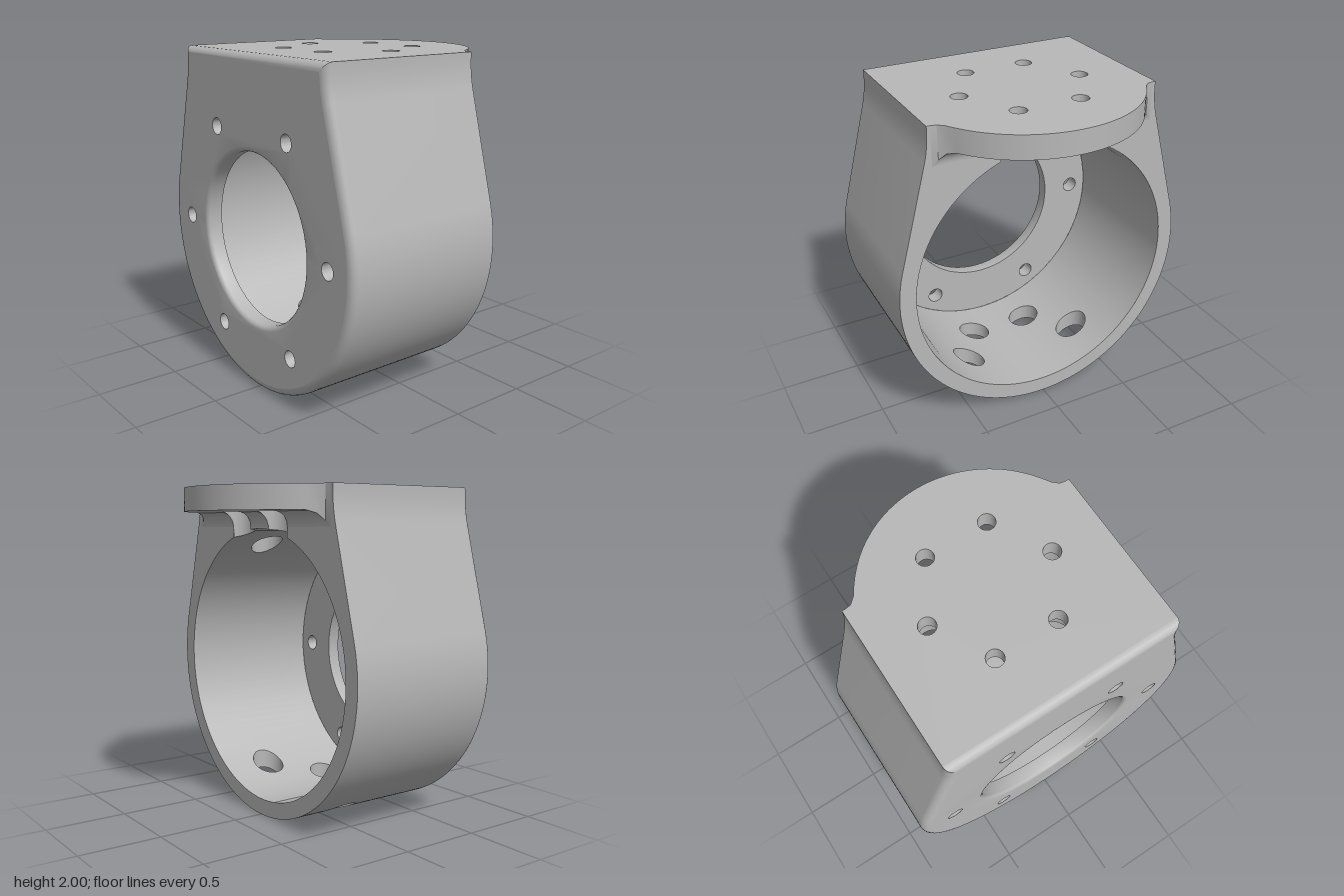
import * as THREE from 'three';
import { mergeGeometries, toCreasedNormals } from 'three/addons/utils/BufferGeometryUtils.js';

const CY = 0.93, R = 0.93, CAV = 0.83;            // bore axis height, outer and cavity radius
const BACK = -0.31, PLATE = 0.61, FRONT = 0.71;   // z of back face, inside of plate, front face
const TOP = 2, HALF = 0.71, ROUND = 0.05, BORE = 0.515, BORE_ROUND = 0.03;
const SEAT = 1.88, UNDER = 1.86, FIL = 0.09;      // screw seat, flange underside, flange fillet
const HOLE = 0.05, ACCESS = 0.1, HX0 = 0.387, HX1 = 0.193, HZ = 0.335;
const XM = 0.6, XF = 0.69;                        // half widths of drilled strip and flange root
const TAU = Math.PI * 2;

const range = (a, b, n) => Array.from({ length: n + 1 }, (_, i) => a + (b - a) * i / n);
const clamp = THREE.MathUtils.clamp;
const around = range(0, TAU, 64);

// Columns across x, closely spaced where access holes begin and end
function columns(half) {
  const list = range(-half, half, 40);
  for (const c of [-HX0, -HX1, HX1, HX0])
    for (const a of range(0, Math.PI, 16)) list.push(c + ACCESS * Math.cos(a));
  return list.sort((a, b) => a - b).filter((x, i, l) => i === 0 || x - l[i - 1] > 1e-5);
}
const xs = columns(XM), xsFlange = columns(XF);

// Half chord of the access holes at x
const chord = (x, hx) => Math.sqrt(Math.max(0, ACCESS ** 2 - (Math.abs(x) - hx) ** 2));
const arcY = (r, x) => Math.sqrt(r * r - x * x);
const roof = x => CY + arcY(CAV, x);

// Grid surface from f(u, t), t in 0..1
function sheet(us, f, nt = 1, flip = false) {
  const pos = [], p = us.map(u => range(0, 1, nt).map(t => new THREE.Vector3(...f(u, t))));
  const tri = (a, b, c) => {
    const area = b.clone().sub(a).cross(c.clone().sub(a)).length();
    if (area > 1e-9) for (const v of flip ? [a, c, b] : [a, b, c]) pos.push(v.x, v.y, v.z);
  };
  for (let i = 0; i < us.length - 1; i++) for (let j = 0; j < nt; j++) {
    tri(p[i][j], p[i + 1][j], p[i + 1][j + 1]);
    tri(p[i][j], p[i + 1][j + 1], p[i][j + 1]);
  }
  return new THREE.BufferGeometry().setAttribute('position', new THREE.Float32BufferAttribute(pos, 3));
}
const mix = (a, b, t) => a + (b - a) * t;

// Flat face from outline points and circular holes [x, y, r]
function face(points, holes = []) {
  const s = new THREE.Shape(points.map(p => new THREE.Vector2(p[0], p[1])));
  for (const [x, y, r] of holes) s.holes.push(new THREE.Path().absarc(x, y, r, 0, TAU, false));
  return plain(new THREE.ShapeGeometry(s, 32));
}
function plain(g) {
  const out = g.toNonIndexed();
  out.deleteAttribute('normal');
  out.deleteAttribute('uv');
  return out;
}

// Curved strip drilled by the four access holes
function drilled(y, zBack, zFront, flip) {
  const band = (lo, hi) => sheet(xs, (x, t) => [x, y(x), mix(lo(x), hi(x), t)], 1, flip);
  return [
    band(zBack, x => -chord(x, HX0)),
    band(x => chord(x, HX0), x => HZ - chord(x, HX1)),
    band(x => HZ + chord(x, HX1), () => zFront),
  ];
}
// Vertical hole wall between two height rules
const bore = (hx, hz, r, lo, hi) => sheet(around, (a, t) => {
  const x = hx + r * Math.cos(a), z = hz + r * Math.sin(a);
  return [x, mix(lo(x, z), hi(x, z), t), z];
});

// Outline: point plus outward normal, right side from the top downwards
const TILT = 14.5 * Math.PI / 180, BLEND = 0.72;
const side = [[HALF, TOP, 1, 0]];
for (const a of range(0, TILT, 6))
  side.push([HALF + BLEND * (1 - Math.cos(a)), 1.97 - BLEND * Math.sin(a), Math.cos(a), Math.sin(a)]);
for (const a of range(TILT, -Math.acos(XM / R), 24))
  side.push([R * Math.cos(a), CY + R * Math.sin(a), Math.cos(a), Math.sin(a)]);
const otherSide = side.map(([x, y, nx, ny]) => [-x, y, -nx, ny]).reverse();
const bottom = xs.slice(1, -1).reverse().map(x => [x, CY - arcY(R, x), x / R, -arcY(R, x) / R]);
const outline = [...side, ...bottom, ...otherSide];
const inset = ([x, y, nx, ny], d) => [x - nx * d, Math.min(y - ny * d, TOP - d)];

// Flange edge in plan: round disc with a small concave blend into the body
const blend = new THREE.CubicBezierCurve(new THREE.Vector2(0.61, -0.363), new THREE.Vector2(0.635, -0.322),
  new THREE.Vector2(0.655, BACK), new THREE.Vector2(XF, BACK)).getPoints(24);
function edgeZ(x) {
  const ax = Math.abs(x);
  if (ax <= 0.61) return -arcY(0.7143, ax) + 0.0086 * (ax / 0.61) ** 4;
  const i = clamp(blend.findIndex(p => p.x >= ax - 1e-9), 1, 24), a = blend[i - 1], b = blend[i];
  return mix(a.y, b.y, clamp((ax - a.x) / (b.x - a.x), 0, 1));
}
const filletAngle = z => Math.asin(clamp((z - BACK + FIL) / FIL, 0, 1));
const underY = z => UNDER - FIL + FIL * Math.cos(filletAngle(z));

export function createModel() {
  const group = new THREE.Group();
  const grey = new THREE.MeshStandardMaterial({ color: 0xb8b8b8, side: THREE.DoubleSide });
  grey.name = 'machined grey';
  const add = (name, parts) => {
    const mesh = new THREE.Mesh(toCreasedNormals(mergeGeometries(parts), 0.5), grey);
    mesh.name = name;
    group.add(mesh);
  };
  const zWall = FRONT - ROUND;

  // Outer wall with drilled underside and rounded front edge
  const wall = pts => sheet(pts, (p, t) => [p[0], p[1], mix(BACK, zWall, t)], 1, true);
  add('outerShell', [
    wall(side), wall(otherSide),
    ...drilled(x => CY - arcY(R, x), () => BACK, zWall, false),
    sheet([...outline, outline[0]], (p, t) => {
      const a = t * Math.PI / 2, q = inset(p, ROUND * (1 - Math.cos(a)));
      return [q[0], q[1], zWall + ROUND * Math.sin(a)];
    }, 6, true),
  ]);

  // Front plate: both faces, rounded bore and six screw holes
  const screws = range(0, TAU, 6).slice(0, 6).map(a => [0.716 * Math.cos(a), CY + 0.716 * Math.sin(a), HOLE]);
  const ringPts = around.slice(0, -1).map(a => [CAV * Math.cos(a), CY + CAV * Math.sin(a)]);
  add('frontPlate', [
    face(outline.map(p => inset(p, ROUND)), [[0, CY, BORE + BORE_ROUND], ...screws]).translate(0, 0, FRONT),
    face(ringPts, [[0, CY, BORE], ...screws]).rotateY(Math.PI).translate(0, 0, PLATE),
    sheet(around, (a, t) => [BORE * Math.cos(a), CY + BORE * Math.sin(a), mix(PLATE, FRONT - BORE_ROUND, t)], 1, true),
    sheet(around, (a, t) => {
      const b = t * Math.PI / 2, r = BORE + BORE_ROUND * (1 - Math.cos(b));
      return [r * Math.cos(a), CY + r * Math.sin(a), FRONT - BORE_ROUND + BORE_ROUND * Math.sin(b)];
    }, 5, true),
    ...screws.map(([x, y, r]) => sheet(around,
      (a, t) => [x + r * Math.cos(a), y + r * Math.sin(a), mix(PLATE, FRONT, t)], 1, true)),
  ]);

  // Cavity: drilled floor and roof, plain sides
  const ca = Math.acos(XM / CAV);
  const cavitySide = s => sheet(range(ca, -ca, 28),
    (a, t) => [s * CAV * Math.cos(a), CY + CAV * Math.sin(a), mix(BACK, PLATE, t)], 1, s < 0);
  add('cavity', [
    cavitySide(1), cavitySide(-1),
    ...drilled(x => CY - arcY(CAV, x), () => BACK, PLATE, true),
    ...drilled(roof, x => Math.max(BACK, chord(x, HX1) ? chord(x, HX1) - HZ : BACK), PLATE, false),
  ]);

  // Back rim, with the strip under the flange notched by the rear screw seats
  const start = Math.acos(XF / CAV);
  const innerArc = range(Math.PI - start, TAU + start, 80).map(a => [CAV * Math.cos(a), CY + CAV * Math.sin(a)]);
  const rim = [[XF, TOP], ...outline, [-XF, TOP], [-XF, UNDER - FIL], ...innerArc, [XF, UNDER - FIL]];
  add('backRim', [
    face(rim).rotateY(Math.PI).translate(0, 0, BACK),
    sheet(xsFlange, (x, t) => {
      const cut = chord(x, HX1) > HZ + BACK;
      return [x, mix(roof(x), cut ? roof(x) : UNDER - FIL, t), BACK];
    }, 1, true),
  ]);

  // Top face running out into the round flange
  const topHoles = [];
  for (const s of [-1, 1]) topHoles.push([s * HX0, 0], [s * HX1, HZ], [s * HX1, -HZ]);
  const topPts = [[-HALF, -zWall], [HALF, -zWall], [HALF, -BACK],
    ...[...xsFlange].reverse().map(x => [x, -edgeZ(x)]), [-HALF, -BACK]];
  add('topFace', [face(topPts, topHoles.map(([x, z]) => [x, -z, HOLE])).rotateX(-Math.PI / 2).translate(0, TOP, 0)]);

  // Flange edge, underside and fillet into the back of the body
  const fillet = (x, a) => [x, UNDER - FIL + FIL * Math.cos(a), BACK - FIL + FIL * Math.sin(a)];
  add('mountingFlange', [
    sheet(xsFlange, (x, t) => [x, mix(underY(edgeZ(x)), TOP, t), edgeZ(x)], 1, true),
    sheet(xsFlange, (x, t) => {
      const end = Math.min(BACK - FIL, chord(x, HX1) ? -HZ - chord(x, HX1) : 0);
      return [x, UNDER, mix(Math.min(edgeZ(x), end), end, t)];
    }),
    sheet(xsFlange, (x, t) => {
      const a0 = filletAngle(edgeZ(x)), a1 = filletAngle(-HZ - chord(x, HX1));
      return fillet(x, mix(a0, Math.max(a0, a1), t));
    }, 6),
    sheet(xsFlange, (x, t) => {
      const a0 = Math.max(filletAngle(edgeZ(x)), filletAngle(-HZ + chord(x, HX1)));
      return fillet(x, mix(a0, Math.PI / 2, t));
    }, 6),
  ]);

  // Top screw holes with seats, and access holes through the bottom
  const drillings = [];
  for (const [x, z] of topHoles) {
    drillings.push(
      bore(x, z, HOLE, () => SEAT, () => TOP),
      bore(x, z, ACCESS, (px, pz) => (pz > BACK ? roof(px) : underY(pz)), () => SEAT),
      plain(new THREE.RingGeometry(HOLE, ACCESS, 64).rotateX(Math.PI / 2).translate(x, SEAT, z)));
    if (z >= 0) drillings.push(bore(x, z, ACCESS, px => CY - arcY(R, px), px => CY - arcY(CAV, px)));
  }
  add('screwHoles', drillings);
  return group;
}
